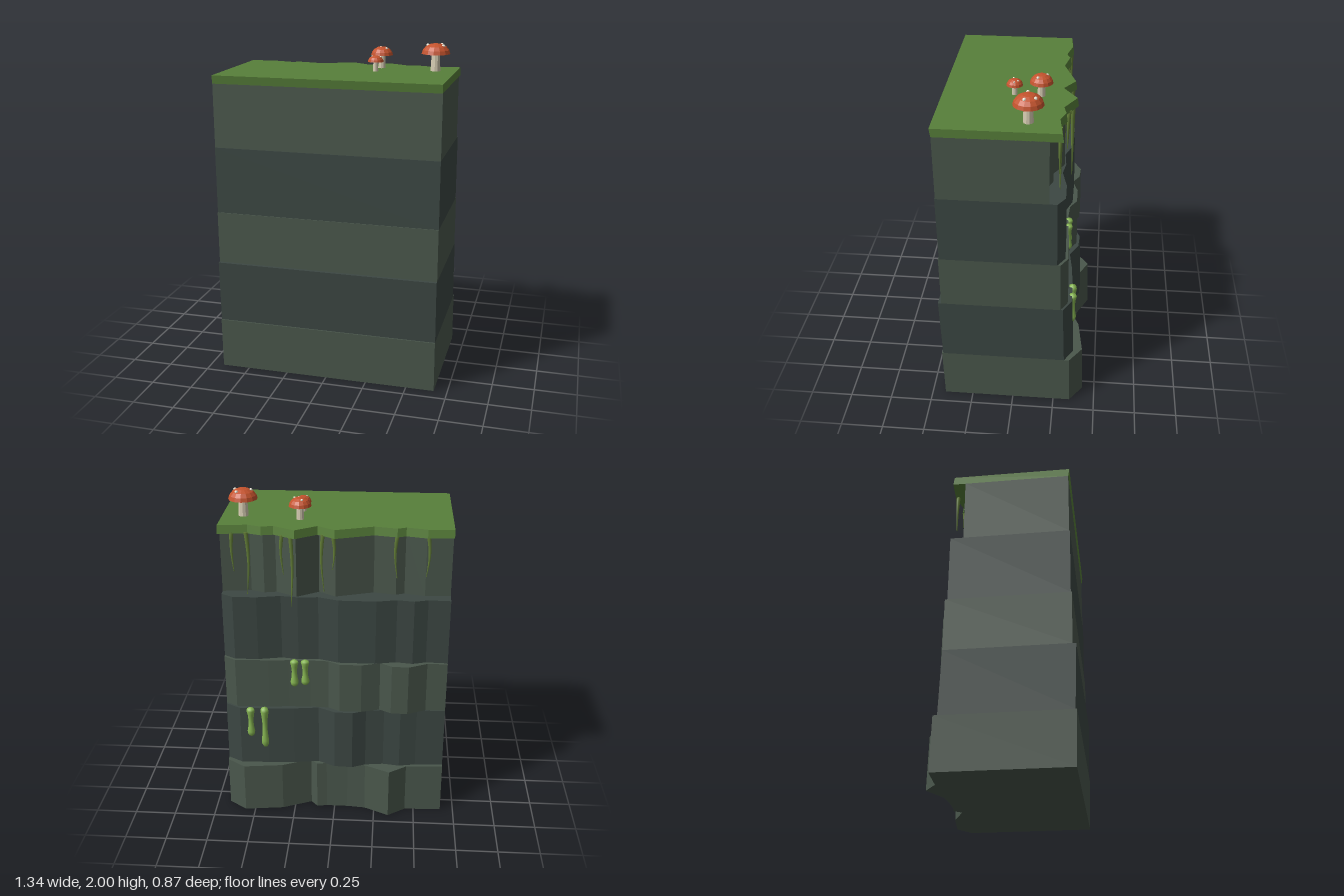
import * as THREE from 'three';

const material = (color, flatShading = true) => new THREE.MeshStandardMaterial({ color, flatShading, roughness: 0.9 });
const rockLight = material(0x4a574c), rockDark = material(0x3c4743);
const grassMat = material(0x58803a), vineMat = material(0x647f38, false), slimeMat = material(0x86b552, false);
const capMat = material(0xc4532d), stalkMat = material(0xd6ccb2), spotMat = material(0xeee6d6);

function add(parent, name, geometry, mat, x = 0, y = 0, z = 0) {
  const mesh = new THREE.Mesh(geometry, mat);
  mesh.name = name;
  mesh.position.set(x, y, z);
  parent.add(mesh);
  return mesh;
}

// Slab with a jagged back edge of [x, z] points; lean slides its bottom backwards
function slab(y0, y1, front, lean, back) {
  const corners = [[-0.67, front], ...back, [0.67, front]];
  const shape = new THREE.Shape(corners.map(([x, z]) => new THREE.Vector2(x, z)));
  const geo = new THREE.ExtrudeGeometry(shape, { depth: y1 - y0, bevelEnabled: false });
  geo.rotateX(Math.PI / 2).translate(0, y1, 0);
  const p = geo.attributes.position;
  for (let i = 0; i < p.count; i++) p.setZ(i, p.getZ(i) - lean * (y1 - p.getY(i)) / (y1 - y0));
  geo.computeVertexNormals();
  return geo;
}

const grassEdge = [[-0.67, -0.26], [-0.52, -0.27], [-0.4, -0.24], [-0.35, -0.262], [-0.22, -0.235], [0, -0.31],
  [0.1, -0.245], [0.225, -0.328], [0.35, -0.26], [0.42, -0.275], [0.5, -0.247], [0.67, -0.268]];

// Rock layers from the ground up: bottom, top, front z, lean, back edge
const layers = [
  [0, 0.315, 0.43, 0.01, [[-0.67, -0.34], [-0.445, -0.352], [-0.34, -0.425], [-0.19, -0.355], [-0.08, -0.345],
    [0.05, -0.345], [0.11, -0.355], [0.15, -0.31], [0.325, -0.385], [0.56, -0.415], [0.67, -0.34]]],
  [0.315, 0.695, 0.437, 0.015, [[-0.67, -0.3], [-0.5, -0.31], [-0.4, -0.33], [-0.3, -0.315], [-0.19, -0.33],
    [-0.11, -0.365], [0, -0.36], [0.1, -0.31], [0.25, -0.33], [0.41, -0.34], [0.58, -0.345], [0.67, -0.295]]],
  [0.695, 1.01, 0.422, 0.005, [[-0.67, -0.295], [-0.55, -0.295], [-0.44, -0.35], [-0.34, -0.345], [-0.27, -0.305],
    [-0.16, -0.34], [-0.03, -0.34], [0.04, -0.3], [0.15, -0.295], [0.28, -0.3], [0.4, -0.31], [0.6, -0.315], [0.67, -0.275]]],
  [1.01, 1.41, 0.422, 0.006, [[-0.67, -0.275], [-0.54, -0.27], [-0.46, -0.295], [-0.36, -0.28], [-0.24, -0.307],
    [-0.02, -0.307], [0.1, -0.265], [0.22, -0.275], [0.32, -0.26], [0.46, -0.29], [0.6, -0.292], [0.67, -0.25]]],
  [1.41, 1.79, 0.422, 0.004, grassEdge.map(([x, z]) => [x, z + 0.066])],
];

function mushroom(parent, x, z, radius, capY, topY, spots) {
  const g = new THREE.Group();
  g.name = 'mushroom';
  g.position.set(x, 1.835, z);
  const base = capY - 1.835, h = topY - capY;
  add(g, 'stalk', new THREE.CylinderGeometry(radius * 0.29, radius * 0.35, base + 0.015, 10), stalkMat, 0, base / 2, 0);
  const dome = [[0, 0], [1, 0], [0.92, 0.36], [0.72, 0.7], [0.4, 0.93], [0, 1]];
  add(g, 'cap', new THREE.LatheGeometry(dome.map(([r, y]) => new THREE.Vector2(r * radius, y * h)), 14), capMat, 0, base, 0);
  for (const [sx, sz] of spots) {
    const r = Math.hypot(sx, sz) / radius;
    add(g, 'capSpot', new THREE.SphereGeometry(radius * 0.12, 8, 6), spotMat, sx, base + h * Math.sqrt(1 - r * r) * 0.97, sz);
  }
  parent.add(g);
}

// Tapered, slightly bent vine hanging down from its origin
function vineGeometry(length, bend) {
  const geo = new THREE.CylinderGeometry(0.013, 0.002, length, 6, 6).translate(0, -length / 2, 0);
  const p = geo.attributes.position;
  for (let i = 0; i < p.count; i++) {
    const t = -p.getY(i) / length;
    p.setX(i, p.getX(i) + bend * Math.sin(t * 3.6));
    p.setZ(i, p.getZ(i) + bend * 0.5 * t);
  }
  geo.computeVertexNormals();
  return geo;
}

// Drip with a wide top, thin neck and round bulb
function dripGeometry(length, r) {
  const profile = [[0, -1], [0.55, -0.97], [0.9, -0.89], [0.95, -0.8], [0.7, -0.62], [0.6, -0.42], [0.75, -0.2], [1, -0.05], [0.8, 0.02], [0, 0.06]];
  return new THREE.LatheGeometry(profile.map(([a, b]) => new THREE.Vector2(a * r, b * length)), 12);
}

export function createModel() {
  const model = new THREE.Group();
  model.name = 'cliffTile';

  layers.forEach(([y0, y1, front, lean, back], i) =>
    add(model, 'rockLayer', slab(y0, y1, front, lean, back), i % 2 ? rockDark : rockLight));
  add(model, 'grassTop', slab(1.788, 1.837, 0.43, 0.008, grassEdge), grassMat);

  // Mushrooms on the grass
  mushroom(model, 0.545, -0.08, 0.085, 1.938, 2, [[-0.047, 0.007], [0.047, 0.018], [0.029, -0.04]]);
  mushroom(model, 0.21, -0.125, 0.066, 1.915, 1.966, [[-0.014, -0.032], [0.032, 0.018]]);
  mushroom(model, 0.205, 0.025, 0.047, 1.893, 1.93, [[-0.02, 0.007], [0.014, -0.02], [0.029, 0]]);

  // Vines under the back lip: x, z, length, bend
  const vines = [[0.59, -0.255, 0.24, 0.006], [0.51, -0.25, 0.38, -0.01], [0.3, -0.285, 0.24, 0.008], [0.25, -0.305, 0.43, -0.008],
    [0.07, -0.262, 0.35, 0.01], [0.01, -0.295, 0.2, -0.008], [-0.35, -0.255, 0.26, 0.01], [-0.525, -0.262, 0.24, -0.01]];
  for (const [x, z, length, bend] of vines) add(model, 'vine', vineGeometry(length, bend), vineMat, x, 1.795, z);

  // Slime drips on the ledges: x, ledge y, z, length
  const drips = [[0.515, 0.69, -0.345, 0.19], [0.43, 0.69, -0.342, 0.27], [0.245, 1.005, -0.3, 0.17], [0.18, 1.005, -0.298, 0.16]];
  for (const [x, y, z, length] of drips) add(model, 'slimeDrip', dripGeometry(length, 0.026), slimeMat, x, y, z);

  return model;
}
